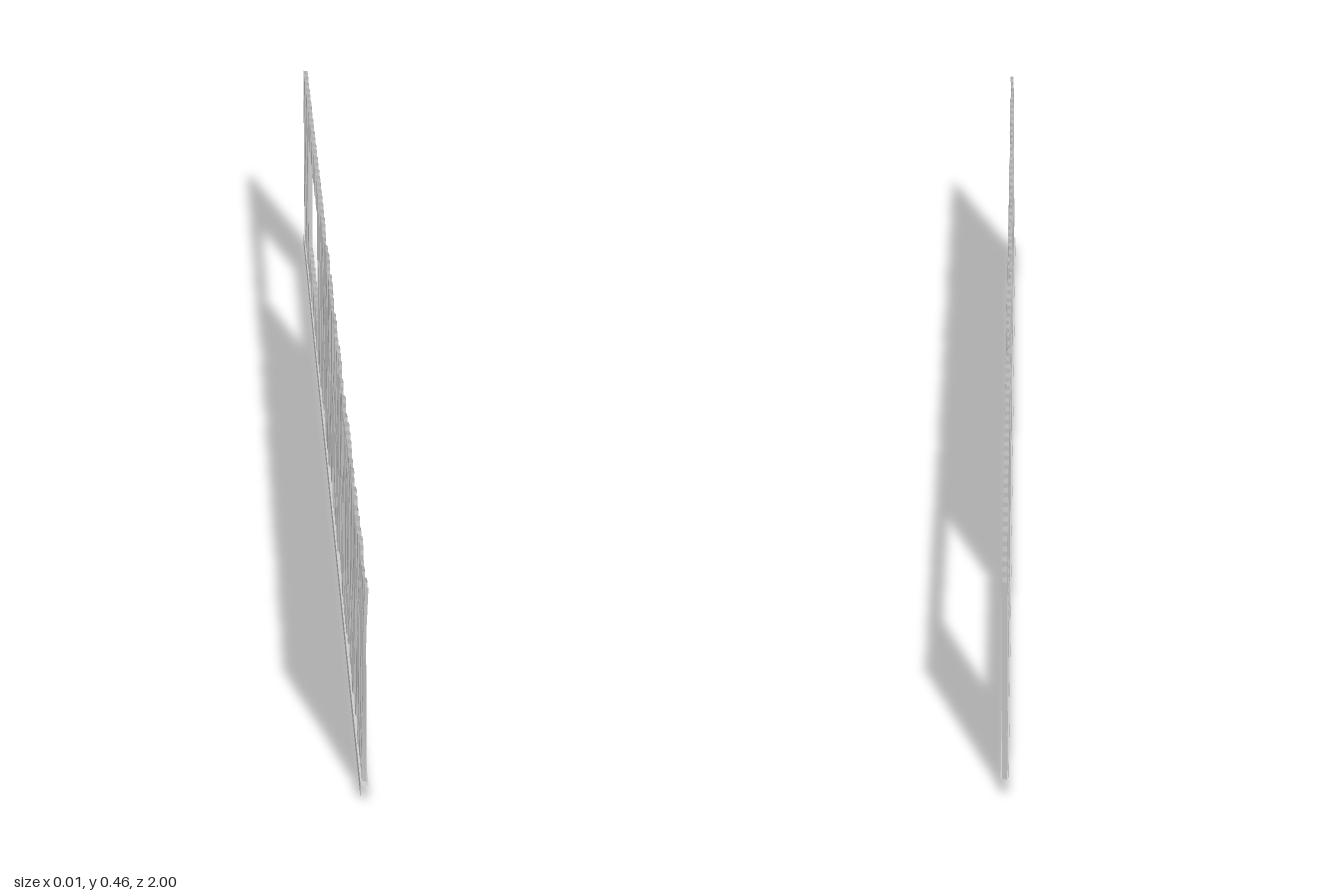
import * as THREE from 'three';
import { toCreasedNormals } from 'three/addons/utils/BufferGeometryUtils.js';

const PITCH = 0.03, DEPTH = 0.0045;
const BOTTOM = 0.03, TOP = 0.457;
const WINDOW = { z0: -0.79, z1: -0.43, y0: 0.11, y1: 0.385 };
const BREAKS = [0, 0.4, 0.52, 0.88]; // corners of one rib, as parts of the pitch

// Trapezoid rib: out on the first part, in on the third
function rib(z) {
  const t = ((z / PITCH) % 1 + 1) % 1;
  if (t < 0.4) return 1;
  if (t < 0.52) return 1 - 2 * (t - 0.4) / 0.12;
  if (t < 0.88) return -1;
  return -1 + 2 * (t - 0.88) / 0.12;
}

// Sheet surface: regular ribs near the window, battered ones towards the front
function surface(z, y) {
  const damage = THREE.MathUtils.smoothstep(z, -0.42, -0.2);
  const dent = 0.55 * Math.sin(13 * z + 9 * y) * Math.sin(31 * z - 14 * y)
    + 0.4 * Math.sin(67 * z + 11 * y + 2 * Math.sin(17 * z));
  const flat = 1 - 0.45 * damage * (0.5 + 0.5 * Math.sin(23 * z + 12 * y));
  return DEPTH * THREE.MathUtils.clamp(rib(z) * flat + damage * dent * 0.7, -1, 1);
}

// One rectangular piece of corrugated sheet
function sheet(z0, z1, y0, y1, rows) {
  const zs = [z0];
  for (let i = Math.floor(z0 / PITCH); i * PITCH < z1; i++) {
    for (const b of BREAKS) {
      const z = (i + b) * PITCH;
      if (z > z0 + 1e-4 && z < z1 - 1e-4) zs.push(z);
    }
  }
  zs.push(z1);
  const positions = [], index = [];
  for (let r = 0; r <= rows; r++) {
    const y = y0 + (y1 - y0) * r / rows;
    for (const z of zs) {
      // creases wander sideways a little in the battered stretch
      const inside = z > z0 && z < z1 && z > -0.4;
      const shift = inside ? 0.0015 * Math.sin(40 * z + 15 * y) : 0;
      positions.push(surface(z + 1e-7, y), y, z + shift);
    }
  }
  const n = zs.length;
  for (let r = 0; r < rows; r++) {
    for (let c = 0; c < n - 1; c++) {
      const a = r * n + c, b = a + 1, d = a + n, e = d + 1;
      index.push(a, d, b, b, d, e);
    }
  }
  const g = new THREE.BufferGeometry();
  g.setAttribute('position', new THREE.Float32BufferAttribute(positions, 3));
  g.setIndex(index);
  return toCreasedNormals(g, 0.5);
}

export function createModel() {
  const model = new THREE.Group();
  model.name = 'corrugatedWall';
  const sheetMaterial = new THREE.MeshStandardMaterial({ color: 0xcccccc, side: THREE.DoubleSide });
  const railMaterial = new THREE.MeshStandardMaterial({ color: 0xcccccc, flatShading: true });

  // Corrugated sheet in four pieces around the window opening
  const { z0, z1, y0, y1 } = WINDOW;
  const pieces = {
    sheetFront: [z1, 0.99, BOTTOM, TOP, 9],
    sheetBack: [-1, z0, BOTTOM, TOP, 2],
    sheetAboveWindow: [z0, z1, y1, TOP, 1],
    sheetBelowWindow: [z0, z1, BOTTOM, y0, 1],
  };
  for (const [name, args] of Object.entries(pieces)) {
    const mesh = new THREE.Mesh(sheet(...args), sheetMaterial);
    mesh.name = name;
    model.add(mesh);
  }

  // Base rail: a four-sided tube with open ends
  const railGeometry = new THREE.CylinderGeometry(Math.SQRT1_2, Math.SQRT1_2, 1.99, 4, 1, true);
  railGeometry.rotateY(Math.PI / 4).rotateX(Math.PI / 2).scale(0.014, BOTTOM, 1);
  const rail = new THREE.Mesh(railGeometry, railMaterial);
  rail.name = 'baseRail';
  rail.position.set(0, BOTTOM / 2, 0.005);
  model.add(rail);

  return model;
}
